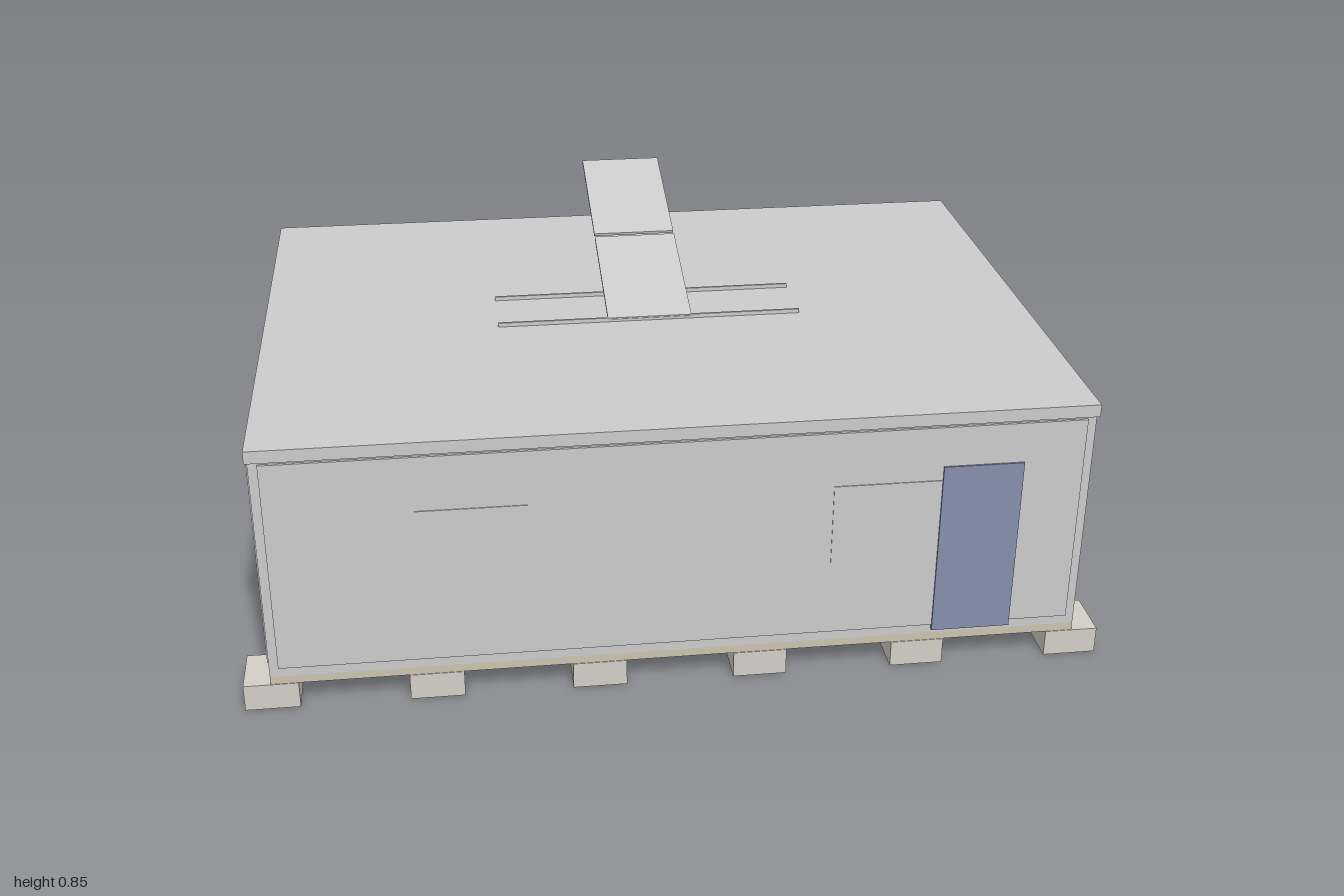
import * as THREE from 'three';

const material = (color) => new THREE.MeshStandardMaterial({ color });
const GREY = material(0xcccccc);
const CONCRETE = material(0xd2cfc6);
const FLOOR = material(0xccc4b0);
const DOOR = material(0x858fad);
const UNIT = material(0x6b717f);

export function createModel() {
  const model = new THREE.Group();

  // Box given by its [min, max] range along each axis
  function box(name, [x0, x1], [y0, y1], [z0, z1], mat = GREY) {
    const mesh = new THREE.Mesh(new THREE.BoxGeometry(x1 - x0, y1 - y0, z1 - z0), mat);
    mesh.name = name;
    mesh.position.set((x0 + x1) / 2, (y0 + y1) / 2, (z0 + z1) / 2);
    model.add(mesh);
    return mesh;
  }

  // Foundation blocks in two rows
  for (const z of [-0.61, 0.61]) {
    for (let i = 0; i < 6; i++) {
      const x = -0.9375 + i * 0.375;
      box('foundationBlock', [x - 0.0625, x + 0.0625], [0, 0.065], [z - 0.0625, z + 0.0625], CONCRETE);
    }
  }

  // Shell: floor, body frame and roof slab
  box('floor', [-0.938, 0.938], [0.065, 0.085], [-0.671, 0.671], FLOOR);
  box('bodyFrame', [-0.938, 0.938], [0.085, 0.635], [-0.671, 0.671]);
  box('roof', [-0.944, 0.944], [0.633, 0.663], [-0.676, 0.676]);

  // Wall panels, slightly proud of the frame
  const wallY = [0.11, 0.628];
  box('leftWall', [0.93, 0.943], wallY, [-0.65, 0.65]);
  box('rightWall', [-0.943, -0.93], wallY, [-0.65, 0.65]);
  box('frontWall', [-0.917, 0.917], wallY, [0.66, 0.677]);
  box('backWall', [-0.917, 0.917], wallY, [-0.677, -0.66]);

  // Windows: two in front, one at the back
  const windowY = [0.285, 0.495];
  for (const x of [-0.467, 0.467]) {
    box('frontWindow', [x - 0.124, x + 0.124], windowY, [0.67, 0.679]);
  }
  box('backWindow', [-0.124, 0.124], windowY, [-0.679, -0.67]);

  // Door and the small utility unit on the side
  box('door', [0.592, 0.778], [0.097, 0.53], [0.668, 0.681], DOOR);
  box('utilityUnit', [0.935, 0.952], [0.12, 0.305], [-0.655, -0.603], UNIT);

  // Roof rails
  for (const z of [-0.085, 0.081]) {
    box('roofRail', [-0.374, 0.374], [0.662, 0.673], [z - 0.003, z + 0.003]);
  }

  // Two tilted roof panels in one sloping line
  for (const [y, z] of [[0.712, -0.083], [0.804, -0.432]]) {
    const panel = box('tiltedPanel', [-0.104, 0.104], [y - 0.0035, y + 0.0035], [z - 0.173, z + 0.173]);
    panel.rotation.x = THREE.MathUtils.degToRad(15);
  }

  return model;
}
